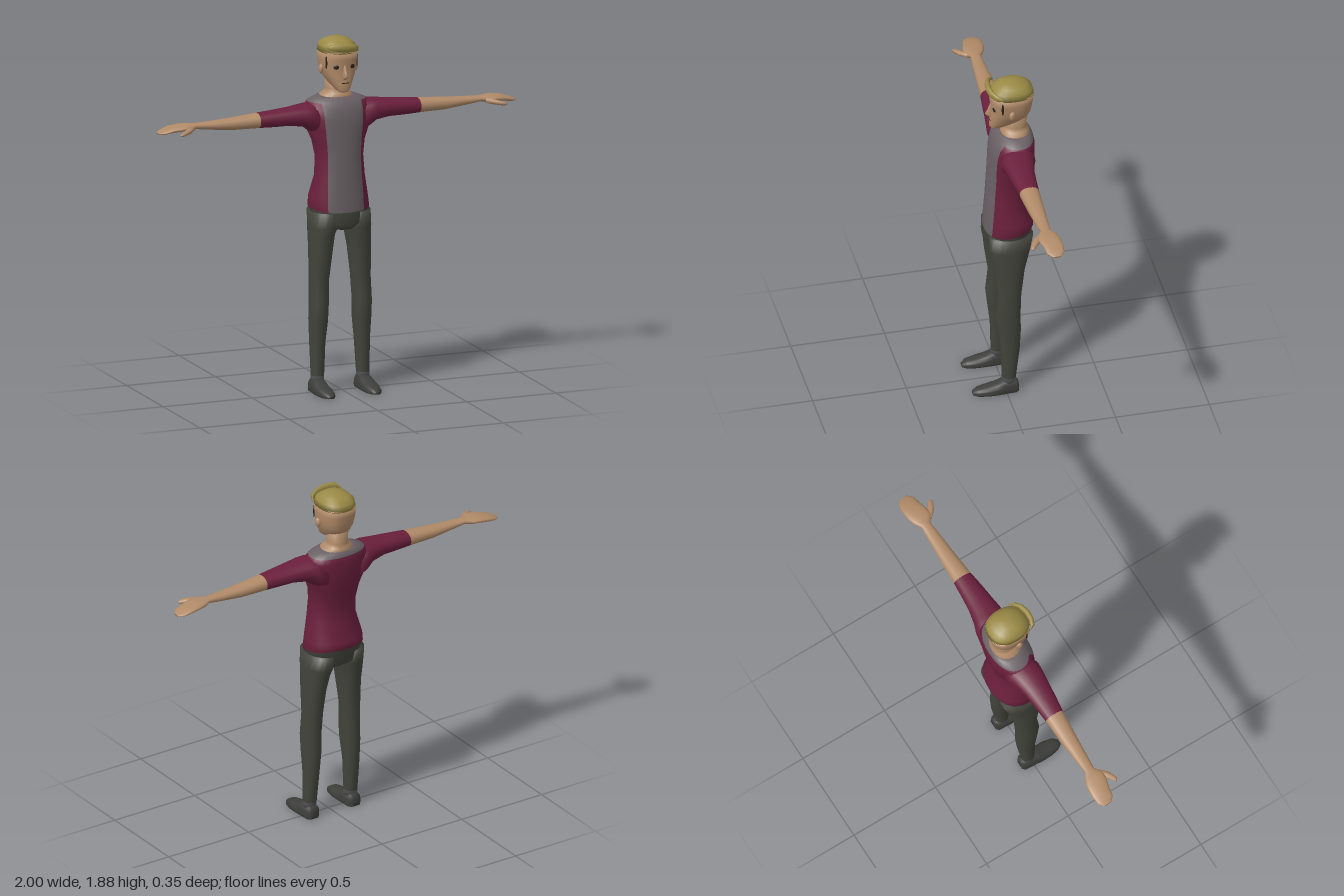
import * as THREE from 'three';

const mat = (name, color) => {
  const m = new THREE.MeshStandardMaterial({ color });
  m.name = name;
  return m;
};

// Rounded ring: a and b span the section, p below 1 makes it squarer.
// A given stripe half-width s puts ring points exactly on the stripe edges.
function ring(axis, pos, [a0, a1, b0, b1], { n = 20, p = 0.9, s = 0, tilt = 0, floor = -9 } = {}) {
  const pts = [], ca = (a0 + a1) / 2, cb = (b0 + b1) / 2, ra = (a1 - a0) / 2, rb = (b1 - b0) / 2;
  const pw = (v) => Math.sign(v) * Math.abs(v) ** p;
  const t0 = s ? Math.acos((s / ra) ** (1 / p)) : 0;
  for (let i = 0; i < n; i++) {
    let t = (i / n) * Math.PI * 2;
    if (s) {
      const front = 8;
      t = i < front ? t0 + (i / front) * (Math.PI - 2 * t0)
        : Math.PI - t0 + ((i - front) / (n - front)) * (Math.PI + 2 * t0);
    }
    const a = ca + ra * pw(Math.cos(t)), b = cb + rb * pw(Math.sin(t));
    if (axis === 'y') pts.push([a, pos - tilt * pw(Math.sin(t)), b]);
    else if (axis === 'x') pts.push([pos, Math.max(b, floor), a]);
    else pts.push([a, Math.max(b, floor), pos]);
  }
  return pts;
}

// Closed skin over a list of rings; pick(row, segment) selects the material.
function loft(name, rings, mats, pick = () => 0) {
  const n = rings[0].length, pos = rings.flat(2), faces = [].concat(mats).map(() => []);
  for (let r = 0; r < rings.length - 1; r++) {
    for (let i = 0; i < n; i++) {
      const j = (i + 1) % n, a = r * n + i, b = r * n + j;
      faces[pick(r, i)].push(a, b, b + n, a, b + n, a + n);
    }
  }
  [0, rings.length - 1].forEach((r, end) => {
    const c = pos.length / 3;
    for (let k = 0; k < 3; k++) pos.push(rings[r].reduce((sum, q) => sum + q[k], 0) / n);
    for (let i = 0; i < n; i++) {
      const a = r * n + i, b = r * n + (i + 1) % n;
      faces[pick(Math.min(r, rings.length - 2), i)].push(...(end ? [a, b, c] : [b, a, c]));
    }
  });
  // Turn all faces outward
  let volume = 0;
  const v = (i) => new THREE.Vector3().fromArray(pos, i * 3);
  faces.forEach((f) => {
    for (let i = 0; i < f.length; i += 3) volume += v(f[i]).dot(v(f[i + 1]).cross(v(f[i + 2])));
  });
  if (volume < 0) faces.forEach((f) => f.reverse());
  const g = new THREE.BufferGeometry();
  g.setAttribute('position', new THREE.Float32BufferAttribute(pos, 3));
  g.setIndex(faces.flat());
  if (Array.isArray(mats)) {
    let start = 0;
    faces.forEach((f, i) => { g.addGroup(start, f.length, i); start += f.length; });
  }
  g.computeVertexNormals();
  const mesh = new THREE.Mesh(g, mats);
  mesh.name = name;
  return mesh;
}

export function createModel() {
  const group = new THREE.Group();
  group.name = 'standingMan';
  const skin = mat('skin', 0xb08a68), hair = mat('blondHair', 0x9a8a45), maroon = mat('maroonCloth', 0x6a1f3b);
  const gray = mat('grayCloth', 0x696064), pants = mat('darkTrousers', 0x42443b), shoe = mat('shoe', 0x3e3f3b);
  const sock = mat('sock', 0x58585c), dark = mat('darkDetail', 0x2a211c);
  const upright = (rows, opt) => rows.map(([y, w, zf, zb]) => ring('y', y, [-w, w, zb, zf], opt));

  // Torso: y, half width, front z, back z, stripe half width
  const torso = [
    [0.87, 0.06, 0.07, -0.1, 0.04], [0.9, 0.13, 0.09, -0.145, 0.08], [0.982, 0.163, 0.088, -0.17, 0.1],
    [1.04, 0.155, 0.085, -0.175, 0.1], [1.15, 0.133, 0.077, -0.13, 0.095], [1.25, 0.127, 0.072, -0.14, 0.092],
    [1.33, 0.14, 0.066, -0.157, 0.096], [1.4, 0.17, 0.06, -0.17, 0.103], [1.46, 0.18, 0.055, -0.175, 0.108],
    [1.51, 0.18, 0.042, -0.175, 0.11], [1.54, 0.16, 0.025, -0.17, 0.11], [1.56, 0.11, 0.005, -0.16, 0.085],
    [1.565, 0.085, -0.005, -0.15, 0.065],
  ];
  group.add(loft('torso',
    torso.map(([y, w, zf, zb, s], r) => ring('y', y, [-w, w, zb, zf], { n: 28, s, tilt: r === 2 ? 0.018 : 0 })),
    [pants, maroon, gray], (r, i) => (r < 2 ? 0 : r >= 10 || i < 8 ? 2 : 1)));

  // Neck and head
  group.add(loft('neck', upright([[1.54, 0.09, 0, -0.155], [1.568, 0.087, -0.002, -0.152],
    [1.58, 0.062, -0.015, -0.148], [1.6, 0.053, -0.025, -0.14], [1.67, 0.055, -0.03, -0.142]]), skin));
  group.add(loft('head', upright([[1.6, 0.022, 0.05, 0], [1.61, 0.036, 0.058, -0.03], [1.64, 0.056, 0.058, -0.11],
    [1.67, 0.073, 0.055, -0.146], [1.7, 0.086, 0.052, -0.16], [1.735, 0.093, 0.05, -0.167],
    [1.77, 0.097, 0.054, -0.172], [1.81, 0.096, 0.055, -0.175]], { n: 24, p: 0.8 }), skin));

  // Hair cap with a swept fringe
  group.add(loft('hairCap', upright([[1.804, 0.098, 0.057, -0.177], [1.838, 0.092, 0.043, -0.168],
    [1.86, 0.07, 0.012, -0.138], [1.872, 0.04, -0.015, -0.105], [1.876, 0.015, -0.04, -0.08]], { n: 24, p: 0.85 }), hair));
  const fringe = [[-0.093, 1.838, 0.02, 0.004], [-0.08, 1.843, 0.045, 0.014], [-0.045, 1.842, 0.058, 0.018],
    [0, 1.838, 0.061, 0.019], [0.045, 1.832, 0.052, 0.018], [0.08, 1.825, 0.03, 0.014], [0.094, 1.82, 0.005, 0.004]];
  group.add(loft('fringe', fringe.map(([x, y, z, r]) =>
    ring('x', x, [z - r * 0.8, z + r * 0.8, y - r * 1.1, y + r * 1.1], { n: 10 })), hair));

  // Nose and mouth
  group.add(loft('nose', [[1.668, 0.008, 0.058], [1.675, 0.015, 0.07], [1.688, 0.013, 0.081],
    [1.71, 0.009, 0.068], [1.745, 0.006, 0.054]].map(([y, w, zf]) => ring('y', y, [-w, w, 0.03, zf], { n: 10 })), skin));
  const mouth = new THREE.Mesh(new THREE.BoxGeometry(0.036, 0.004, 0.006), dark);
  mouth.name = 'mouth';
  mouth.position.set(0, 1.65, 0.055);
  group.add(mouth);

  const blob = (name, m, p, size, turn) => {
    const mesh = new THREE.Mesh(new THREE.SphereGeometry(1, 14, 10), m);
    mesh.name = name;
    mesh.position.set(...p);
    mesh.scale.set(...size);
    mesh.rotation.y = turn;
    group.add(mesh);
  };

  for (const [side, s] of [['left', 1], ['right', -1]]) {
    const span = (a, b) => (s > 0 ? [a, b] : [-b, -a]);

    // Eye, ear and sideburn
    blob(side + 'Eye', dark, [s * 0.045, 1.735, 0.042], [0.015, 0.012, 0.0045], s * 0.3);
    blob(side + 'Ear', skin, [s * 0.095, 1.715, -0.045], [0.013, 0.026, 0.018], s * 0.2);
    blob(side + 'Sideburn', dark, [s * 0.086, 1.757, 0.005], [0.004, 0.036, 0.006], -s * 0.5);

    // Arm: x, back z, front z, bottom y, top y
    const arm = [
      [0.1, -0.16, 0.02, 1.35, 1.535], [0.16, -0.152, 0.034, 1.385, 1.535], [0.2, -0.138, 0.03, 1.415, 1.532],
      [0.28, -0.12, 0.02, 1.428, 1.522], [0.36, -0.112, 0.012, 1.428, 1.515], [0.45, -0.105, 0, 1.43, 1.508],
      [0.6, -0.098, -0.012, 1.432, 1.495], [0.72, -0.09, -0.022, 1.445, 1.488], [0.8, -0.085, -0.03, 1.455, 1.485],
      [0.84, -0.11, -0.002, 1.452, 1.487], [0.88, -0.12, -0.004, 1.452, 1.485], [0.93, -0.122, -0.018, 1.446, 1.478],
      [0.975, -0.115, -0.025, 1.44, 1.462], [1, -0.095, -0.05, 1.44, 1.45],
    ];
    const along = (rows, opt) => rows.map(([x, ...box]) => ring('x', s * x, box, opt));
    group.add(loft(side + 'Arm', along(arm), [maroon, skin], (r) => (r < 5 ? 0 : 1)));
    group.add(loft(side + 'Thumb', along([[0.82, -0.045, -0.01, 1.452, 1.478], [0.85, -0.03, 0.022, 1.446, 1.474],
      [0.885, 0.004, 0.042, 1.443, 1.466], [0.905, 0.02, 0.046, 1.442, 1.46], [0.916, 0.028, 0.04, 1.444, 1.454]],
    { n: 10 }), skin));

    // Leg: y, inner x, outer x, back z, front z
    const leg = [
      [0.96, 0.02, 0.162, -0.155, 0.08], [0.88, 0.022, 0.165, -0.14, 0.08], [0.84, 0.038, 0.165, -0.128, 0.07],
      [0.75, 0.05, 0.166, -0.105, 0.06], [0.6, 0.065, 0.168, -0.085, 0.037], [0.47, 0.072, 0.17, -0.08, 0.05],
      [0.38, 0.073, 0.17, -0.082, 0.04], [0.26, 0.085, 0.165, -0.075, 0.025], [0.085, 0.093, 0.162, -0.054, 0.02],
      [0.05, 0.094, 0.162, -0.05, 0.02],
    ];
    group.add(loft(side + 'Leg', leg.map(([y, xi, xo, zb, zf]) => ring('y', y, [...span(xi, xo), zb, zf])),
      [pants, sock], (r) => (r < 8 ? 0 : 1)));

    // Shoe: z, inner x, outer x, top y, flat underneath
    const foot = [[-0.065, 0.105, 0.155, 0.055], [-0.05, 0.09, 0.168, 0.07], [0.015, 0.087, 0.172, 0.07],
      [0.05, 0.086, 0.175, 0.054], [0.1, 0.086, 0.174, 0.042], [0.15, 0.095, 0.164, 0.032], [0.176, 0.112, 0.145, 0.016]];
    group.add(loft(side + 'Shoe', foot.map(([z, xi, xo, top]) =>
      ring('z', z, [...span(xi, xo), -top * 0.6, top], { p: 0.75, floor: 0 })), shoe));
  }
  return group;
}
